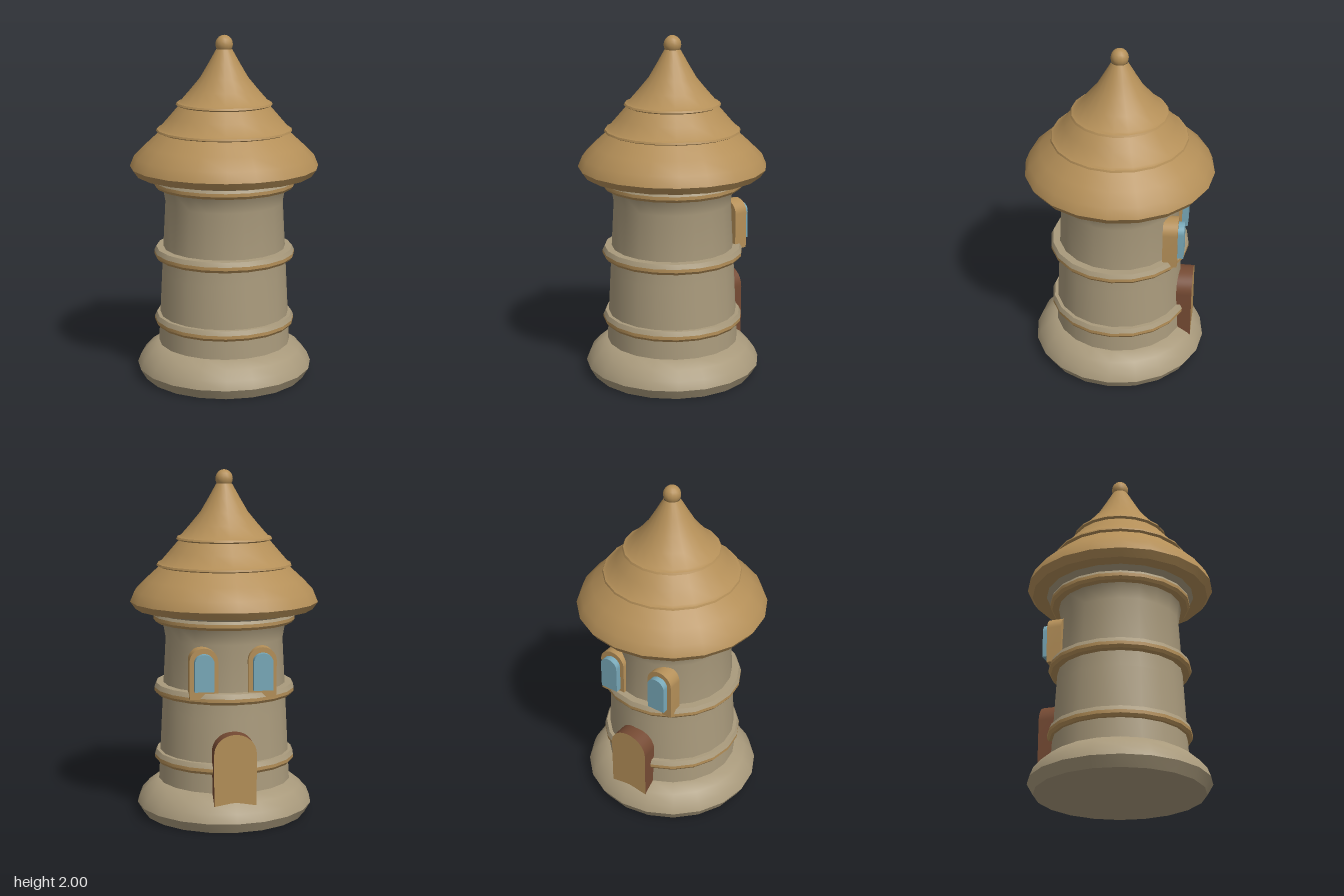
import * as THREE from 'three';
import { toCreasedNormals } from 'three/addons/utils/BufferGeometryUtils.js';

const SIDES = 20;

function material(name, color) {
  const m = new THREE.MeshStandardMaterial({ color });
  m.name = name;
  return m;
}

export function createModel() {
  const stone = material('stone', 0xa99a7c);
  const gold = material('golden thatch', 0xb48f58);
  const brown = material('brown wood', 0x754a33);
  const glass = material('blue glass', 0x78a8b8);

  const tower = new THREE.Group();
  tower.name = 'tower';

  function add(name, geometry, mat, parent = tower) {
    const mesh = new THREE.Mesh(geometry, mat);
    mesh.name = name;
    parent.add(mesh);
    return mesh;
  }

  // Turned part from [radius, height] points, listed bottom to top
  function turned(name, profile, mat, parent) {
    const points = profile.map(([r, y]) => new THREE.Vector2(r, y));
    return add(name, toCreasedNormals(new THREE.LatheGeometry(points, SIDES), 0.6), mat, parent);
  }

  // Round-topped slab facing -z, from depth z0 to z1
  function arch(name, x, width, y0, y1, rise, z0, z1, mats) {
    const w = width / 2;
    const shape = new THREE.Shape();
    shape.moveTo(-w, y0);
    shape.lineTo(w, y0);
    shape.lineTo(w, y1 - rise);
    shape.absellipse(0, y1 - rise, w, rise, 0, Math.PI, false, 0);
    shape.closePath();
    const geometry = new THREE.ExtrudeGeometry(shape, {
      depth: z1 - z0, bevelEnabled: false, curveSegments: 10,
    });
    geometry.translate(0, 0, z0);
    geometry.rotateY(Math.PI);
    geometry.translate(x, 0, 0);
    add(name, toCreasedNormals(geometry, 0.6), mats);
  }

  // Stone footing and walls
  turned('base', [[0, 0], [0.48, 0], [0.515, 0.06], [0.495, 0.11], [0.45, 0.16], [0.39, 0.2], [0.37, 0.2]], stone);
  turned('wall', [[0.388, 0.18], [0.365, 0.62], [0.342, 1.04], [0.358, 1.13], [0.40, 1.18], [0.44, 1.215]], stone);

  // Bands: golden underside, stone top
  for (const y of [0.343, 0.743, 1.162]) {
    const band = new THREE.Group();
    band.name = 'band';
    band.position.y = y;
    tower.add(band);
    turned('bandLower', [[0.34, -0.031], [0.398, -0.031], [0.41, -0.015], [0.41, 0.004]], gold, band);
    turned('bandUpper', [[0.41, 0.004], [0.398, 0.03], [0.34, 0.032]], stone, band);
  }

  // Tiered roof with two ledges
  turned('roof', [
    [0, 1.208], [0.515, 1.208], [0.545, 1.25], [0.52, 1.31],
    [0.455, 1.375], [0.375, 1.448], [0.392, 1.455], [0.388, 1.466], [0.37, 1.474],
    [0.315, 1.537], [0.262, 1.598], [0.278, 1.606], [0.272, 1.617], [0.252, 1.625],
    [0.195, 1.69], [0.137, 1.76], [0.09, 1.84], [0.045, 1.92],
  ], gold);

  // Finial
  const finial = add('finial', new THREE.SphereGeometry(0.05, 14, 10), gold);
  finial.position.y = 1.947;
  finial.scale.y = 1.06;

  // Door at the back
  arch('door', 0, 0.24, 0.1, 0.555, 0.11, 0.3, 0.445, [gold, brown]);

  // Pair of windows above the door
  for (const x of [-0.165, 0.165]) {
    arch('windowFrame', x, 0.16, 0.742, 1.03, 0.075, 0.275, 0.36, gold);
    arch('windowPane', x, 0.11, 0.79, 1.0, 0.05, 0.35, 0.395, glass);
  }

  return tower;
}
